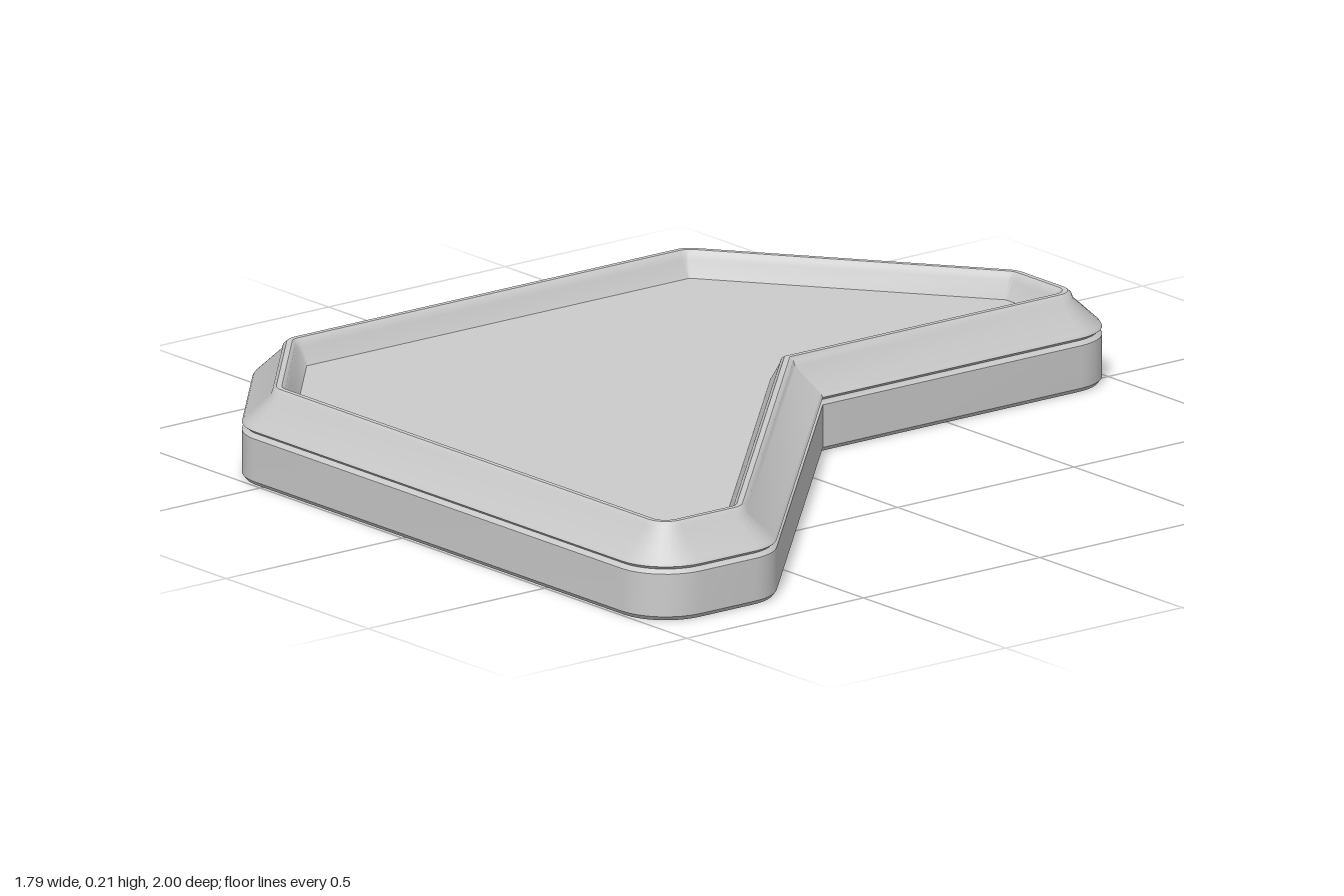
import * as THREE from 'three';
import { toCreasedNormals } from 'three/addons/utils/BufferGeometryUtils.js';

// Corners of the recessed panel as [x, z], clockwise from above
const PANEL = [
  [-0.775, -0.44], [-0.21, -0.875], [-0.065, -0.875], [-0.065, -0.09],
  [0.77, 0.72], [0.77, 0.875], [-0.52, 0.875], [-0.775, 0.64],
];
const RIM = 0.125;       // width of the frame around the panel
const PANEL_Y = 0.15;    // height of the panel
const ARC_STEPS = 8;

// Panel outline grown by d: arcs at outward corners, a mitre at the inward one
function outline(d) {
  const n = PANEL.length;
  const normals = PANEL.map(([x, z], i) => {
    const [x2, z2] = PANEL[(i + 1) % n];
    return new THREE.Vector2(z2 - z, x - x2).normalize();
  });
  const points = [];
  PANEL.forEach(([x, z], i) => {
    const a = normals[(i + n - 1) % n], b = normals[i];
    const turn = Math.atan2(a.cross(b), a.dot(b));
    if (turn < 0) {
      const k = d / (1 + a.dot(b));
      points.push([x + (a.x + b.x) * k, z + (a.y + b.y) * k]);
      return;
    }
    const start = Math.atan2(a.y, a.x);
    for (let s = 0; s <= ARC_STEPS; s++) {
      const t = start + turn * s / ARC_STEPS;
      points.push([x + Math.cos(t) * d, z + Math.sin(t) * d]);
    }
  });
  return points;
}

// Sweeps a profile of [inset, y] pairs around the outline
function sweep(profile) {
  const pos = [], index = [];
  let count = 0;
  profile.forEach(([inset, y], j) => {
    const ring = outline(RIM - inset);
    count = ring.length;
    ring.forEach(([x, z]) => pos.push(x, y, z));
    if (j === 0) return;
    for (let i = 0; i < count; i++) {
      const a = (j - 1) * count + i, b = (j - 1) * count + (i + 1) % count;
      const c = a + count, d = b + count;
      index.push(b, a, c, b, c, d);
    }
  });
  const geo = new THREE.BufferGeometry();
  geo.setAttribute('position', new THREE.Float32BufferAttribute(pos, 3));
  geo.setIndex(index);
  return toCreasedNormals(geo, 0.6);
}

export function createModel() {
  const group = new THREE.Group();
  const material = new THREE.MeshStandardMaterial({ color: 0xcccccc, side: THREE.DoubleSide });
  const add = (name, geometry) => {
    const mesh = new THREE.Mesh(geometry, material);
    mesh.name = name;
    group.add(mesh);
  };

  // Upright outer wall, open underneath
  add('sideWall', sweep([[0.008, 0], [0, 0.01], [0, 0.108], [0.01, 0.117]]));

  // Sloped frame with a rounded crest, dropping to the panel
  add('bevelledRim', sweep([
    [0.01, 0.117], [0, 0.125], [0.004, 0.132], [0.064, 0.188], [0.068, 0.2],
    [0.076, 0.207], [0.088, 0.207], [0.096, 0.2], [0.1, 0.188], [0.12, PANEL_Y],
  ]));

  // Flat recessed panel
  const shape = new THREE.Shape(outline(RIM - 0.12).map(([x, z]) => new THREE.Vector2(x, -z)));
  const panel = new THREE.ShapeGeometry(shape);
  panel.rotateX(-Math.PI / 2);
  panel.translate(0, PANEL_Y, 0);
  add('panel', panel);

  return group;
}
